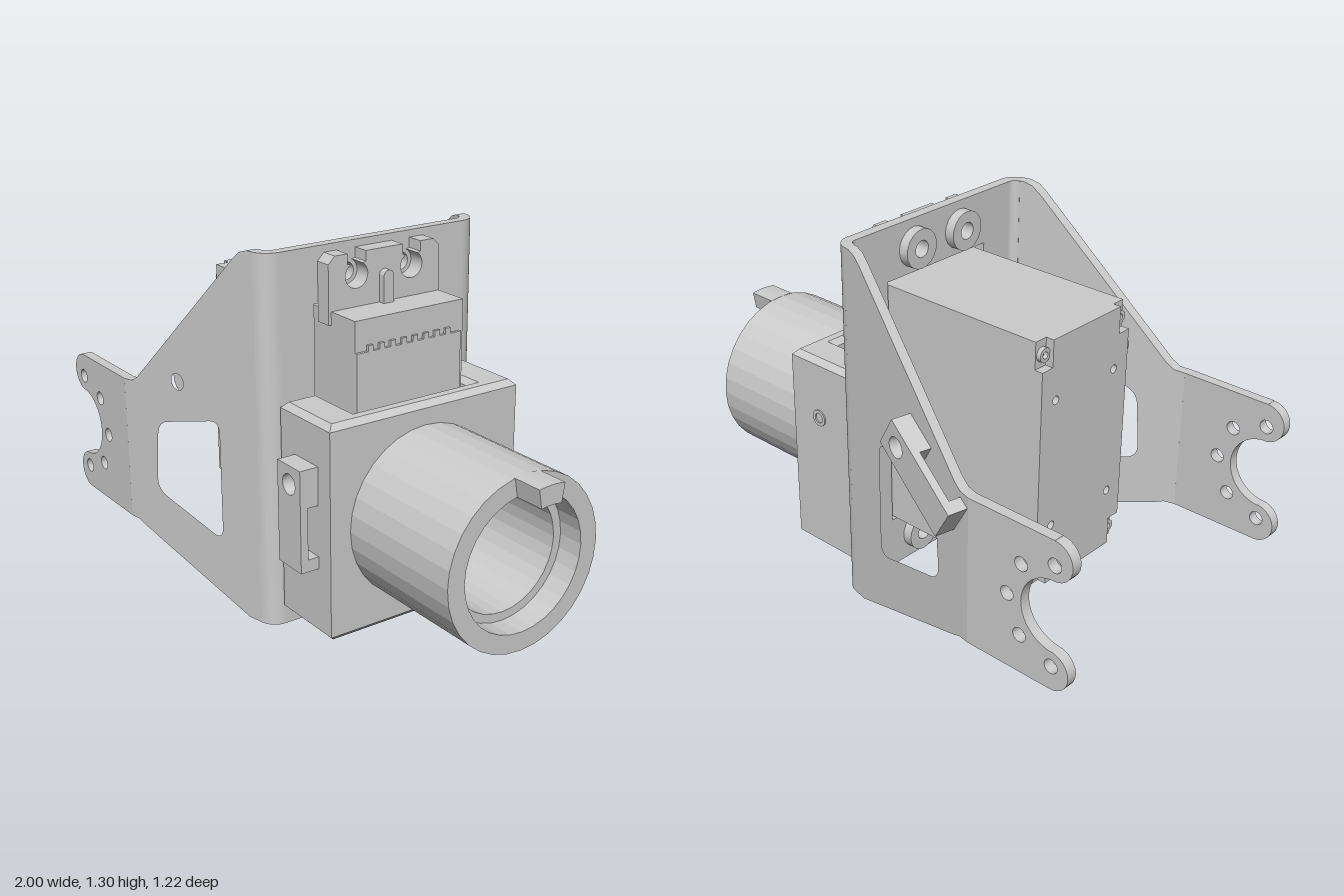
import * as THREE from 'three';
import { toCreasedNormals } from 'three/addons/utils/BufferGeometryUtils.js';

const mat = new THREE.MeshStandardMaterial({ color: 0xcccccc });
const flatMat = new THREE.MeshStandardMaterial({ color: 0xcccccc, flatShading: true });

function add(parent, name, geo, material = mat) {
  const m = new THREE.Mesh(material === mat ? toCreasedNormals(geo, 0.5) : geo, material);
  m.name = name;
  parent.add(m);
  return m;
}
function box(parent, name, x0, x1, y0, y1, z0, z1) {
  return add(parent, name, new THREE.BoxGeometry(x1 - x0, y1 - y0, z1 - z0)
    .translate((x0 + x1) / 2, (y0 + y1) / 2, (z0 + z1) / 2));
}
const poly = pts => new THREE.Shape(pts.map(p => new THREE.Vector2(...p)));
const circle = (x, y, r) => new THREE.Path().absarc(x, y, r, 0, Math.PI * 2, true);
const rect = (x0, x1, y0, y1) => poly([[x0, y0], [x1, y0], [x1, y1], [x0, y1]]);
function disc(x, y, r, hole) {
  const s = new THREE.Shape().absarc(x, y, r, 0, Math.PI * 2, false);
  if (hole) s.holes.push(circle(x, y, hole));
  return s;
}
// Closed outline with rounded corners
function rounded(pts, r) {
  const s = new THREE.Shape(), v = pts.map(p => new THREE.Vector2(...p)), n = v.length;
  v.forEach((p, i) => {
    const toward = q => p.clone().add(q.clone().sub(p).setLength(r));
    const a = toward(v[(i + n - 1) % n]), b = toward(v[(i + 1) % n]);
    if (i) s.lineTo(a.x, a.y); else s.moveTo(a.x, a.y);
    s.quadraticCurveTo(p.x, p.y, b.x, b.y);
  });
  s.closePath();
  return s;
}
const extrude = (s, depth, opt = {}) =>
  new THREE.ExtrudeGeometry(s, { depth, bevelEnabled: false, curveSegments: 10, ...opt });
// Outline drawn in (-z, y), extruded along +x
const alongX = (s, depth, x0, opt) => extrude(s, depth, opt).rotateY(Math.PI / 2).translate(x0, 0, 0);
// Outline drawn in (x, z), extruded along +y
const alongY = (s, h, y0, opt) => extrude(s, h, opt).rotateX(Math.PI / 2).translate(0, y0 + h, 0);

const SHEET = 0.038, AXIS_Y = 0.435, AXIS_Z = 0.03;

// Undercut clip, long along x, standing on z = 0
function clip() {
  const g = new THREE.Group();
  g.name = 'clip';
  const face = rect(-0.178, 0.178, -0.065, 0.065), foot = rect(0.045, 0.178, -0.065, 0.065);
  for (const s of [face, foot]) s.holes.push(circle(0.113, 0, 0.036));
  add(g, 'clipFace', extrude(face, 0.028).translate(0, 0, 0.042));
  add(g, 'clipFoot', extrude(foot, 0.043));
  box(g, 'clipToe', -0.178, -0.135, -0.065, 0.065, 0, 0.043);
  return g;
}

// One bracket arm: bend, sloping web and forked tab
function arm(name) {
  const g = new THREE.Group();
  g.name = name;
  const slope = 0.213, ang = Math.PI / 2 - Math.atan(slope);
  const bend = new THREE.Shape();
  bend.absarc(0.043, 0.3945, 0.067, 0, ang, false);
  bend.absarc(0.043, 0.3945, 0.067 - SHEET, ang, 0, true);
  add(g, 'bend', alongY(bend, 1.3, 0));

  const web = poly([[0.057, 0], [0, 0], [-0.53, 0.18], [-0.56, 0.193], [-0.6, 0.195], [-0.6, 0.725],
    [-0.56, 0.728], [-0.53, 0.748], [-0.03, 1.265], [0, 1.29], [0.03, 1.3], [0.057, 1.3]]);
  web.holes.push(rounded([[-0.12, 0.25], [-0.45, 0.345], [-0.43, 0.605], [-0.12, 0.69]], 0.05));
  web.holes.push(circle(-0.32, 0.78, 0.03));
  // Lean a flat part to follow the slope of the web
  const lean = geo => {
    const p = geo.attributes.position;
    for (let i = 0; i < p.count; i++) p.setZ(i, p.getZ(i) + 0.46 - slope * (p.getX(i) - 0.057));
    geo.computeVertexNormals();
    return geo;
  };
  add(g, 'web', lean(extrude(web, SHEET).translate(0, 0, -SHEET)));
  add(g, 'pressedNut', lean(extrude(disc(-0.32, 0.78, 0.068, 0.022), 0.04).translate(0, 0, -SHEET - 0.04)));

  const tab = new THREE.Shape();
  tab.moveTo(-0.6, 0.195);
  tab.lineTo(-0.6, 0.725);
  tab.lineTo(-0.932, 0.725);
  tab.absarc(-0.932, 0.655, 0.069, Math.PI / 2, Math.PI * 1.5, false);
  tab.absarc(-0.94, 0.46, 0.127, Math.PI / 2, -Math.PI / 2, true);
  tab.absarc(-0.932, 0.265, 0.069, Math.PI / 2, Math.PI * 1.5, false);
  for (const [x, y] of [[-0.935, 0.64], [-0.81, 0.588], [-0.758, 0.46], [-0.81, 0.332], [-0.935, 0.28]])
    tab.holes.push(circle(x, y, 0.025));
  add(g, 'forkedTab', extrude(tab, SHEET).translate(0, 0, 0.6 - SHEET));
  return g;
}

export function createModel() {
  const model = new THREE.Group();
  model.name = 'servoBracketAssembly';

  // Sheet metal bracket
  const bracket = new THREE.Group();
  bracket.name = 'bracket';
  model.add(bracket);
  const front = arm('leftArm'), back = arm('rightArm');
  back.scale.z = -1;
  back.position.z = 0.05;
  const armClip = clip();
  armClip.rotation.set(0, 0.21, 0.56, 'YXZ');
  armClip.position.set(-0.415, 0.725, 0.56);
  back.add(armClip);
  bracket.add(front, back);
  const plate = rect(-0.3945, 0.3445, 0, 1.3);
  plate.holes.push(rect(-0.265, 0.205, 0.19, 1.11));
  const screws = [];
  for (const u of [-0.14, 0.08]) for (const y of [0.1, 1.2]) screws.push([u, y]);
  for (const [u, y] of screws) plate.holes.push(circle(u, y, 0.03));
  add(bracket, 'mountingPlate', alongX(plate, SHEET, 0.11 - SHEET));
  for (const [u, y] of screws) add(bracket, 'washer', alongX(disc(u, y, 0.07, 0.03), 0.037, 0.036));

  // Servo motor
  const servo = new THREE.Group();
  servo.name = 'servo';
  model.add(servo);
  box(servo, 'body', -0.55, 0.3, 0.2, 1.095, -0.195, 0.24);
  const cap = poly([[-0.24, 0.3], [-0.19, 0.3], [-0.19, 0.2], [0.145, 0.2], [0.145, 0.3], [0.195, 0.3],
    [0.195, 1], [0.145, 1], [0.145, 1.095], [-0.19, 1.095], [-0.19, 1], [-0.24, 1]]);
  for (const u of [-0.17, 0.125]) for (const y of [0.42, 0.88]) cap.holes.push(circle(u, y, 0.015));
  add(servo, 'endCap', alongX(cap, 0.03, -0.58));
  for (const u of [-0.21, 0.165]) for (const y of [0.25, 1.045])
    add(servo, 'caseScrew', alongX(disc(u, y, 0.025, 0.012), 0.015, -0.565));
  box(servo, 'cableOutlet', -0.41, -0.355, 0.36, 0.58, 0.24, 0.255);
  box(servo, 'gearCover', 0.29, 0.31, 0.3, 0.99, -0.18, 0.24);
  for (let i = 0; i < 8; i++) {
    const z = 0.185 - i * 0.0445;
    box(servo, 'tooth', 0.29, 0.31, 0.985, 1.01, z - 0.01, z + 0.01);
  }
  // Slotted ears above and below, with a stiffening rib
  const ear = new THREE.Shape();
  ear.moveTo(-0.25, 1.05);
  ear.lineTo(0.195, 1.05);
  ear.lineTo(0.195, 1.25);
  ear.lineTo(0.17, 1.275);
  for (const u of [0.08, -0.14]) {
    ear.lineTo(u + 0.036, 1.275);
    ear.lineTo(u + 0.036, 1.24);
    ear.lineTo(u + 0.023, 1.237);
    ear.absarc(u, 1.2, 0.044, 1.02, Math.PI - 1.02, true);
    ear.lineTo(u - 0.036, 1.24);
    ear.lineTo(u - 0.036, 1.275);
  }
  ear.lineTo(-0.225, 1.275);
  ear.lineTo(-0.25, 1.25);
  const rib = new THREE.Shape();
  rib.moveTo(-0.05, 1.09);
  rib.lineTo(-0.01, 1.09);
  rib.absarc(-0.03, 1.185, 0.02, 0, Math.PI, false);
  for (const top of [true, false]) {
    const g = new THREE.Group();
    g.name = top ? 'upperEar' : 'lowerEar';
    add(g, 'ear', alongX(ear, 0.06, 0.11));
    add(g, 'rib', alongX(rib, 0.03, 0.165));
    if (!top) { g.scale.y = -1; g.position.y = 1.3; }
    servo.add(g);
  }

  // Housing wrapped around the output end, open above and below
  const head = new THREE.Group();
  head.name = 'outputHead';
  model.add(head);
  const b = 0.02;
  const shell = poly([[0.12 + b, -0.352 + b], [0.4 - b, -0.352 + b], [0.4 - b, 0.407 - b], [0.12 + b, 0.407 - b],
    [0.12 + b, 0.265 + b], [0.33 + b, 0.265 + b], [0.33 + b, -0.21 - b], [0.12 + b, -0.21 - b]]);
  add(head, 'housing', alongY(shell, 0.755 - 2 * b, 0.057 + b,
    { bevelEnabled: true, bevelSize: b, bevelThickness: b, bevelSegments: 1 }));
  add(head, 'sideScrew', extrude(disc(0.27, 0.59, 0.03, 0.018), 0.006).translate(0, 0, -0.357));
  const headClip = clip();
  headClip.rotation.z = Math.PI / 2;
  headClip.position.set(0.267, 0.478, 0.405);
  head.add(headClip);

  // Stepped sleeve with a key on its rim
  const profile = [[0.205, 0.39], [0.3, 0.39], [0.3, 0.893], [0.235, 0.893], [0.235, 0.8], [0.205, 0.8], [0.205, 0.39]]
    .map(p => new THREE.Vector2(...p));
  add(head, 'sleeve', new THREE.LatheGeometry(profile, 32).toNonIndexed()
    .rotateZ(-Math.PI / 2).translate(0, AXIS_Y, AXIS_Z), flatMat);
  const key = new THREE.Shape();
  key.absarc(-AXIS_Z, AXIS_Y, 0.3, Math.PI / 2 - 0.17, Math.PI / 2 + 0.17, false);
  key.absarc(-AXIS_Z, AXIS_Y, 0.235, Math.PI / 2 + 0.17, Math.PI / 2 - 0.17, true);
  add(head, 'key', alongX(key, 0.11, 0.89));

  // Horn disc with a ring of holes and a central hub
  const horn = disc(-AXIS_Z, AXIS_Y, 0.205);
  for (let i = 0; i < 8; i++) {
    const a = (i + 0.5) * Math.PI / 4;
    horn.holes.push(circle(-AXIS_Z + 0.18 * Math.cos(a), AXIS_Y + 0.18 * Math.sin(a), 0.02));
  }
  add(head, 'horn', alongX(horn, 0.03, 0.41));
  add(head, 'hornHub', alongX(disc(-AXIS_Z, AXIS_Y, 0.11, 0.036), 0.025, 0.435));
  return model;
}
